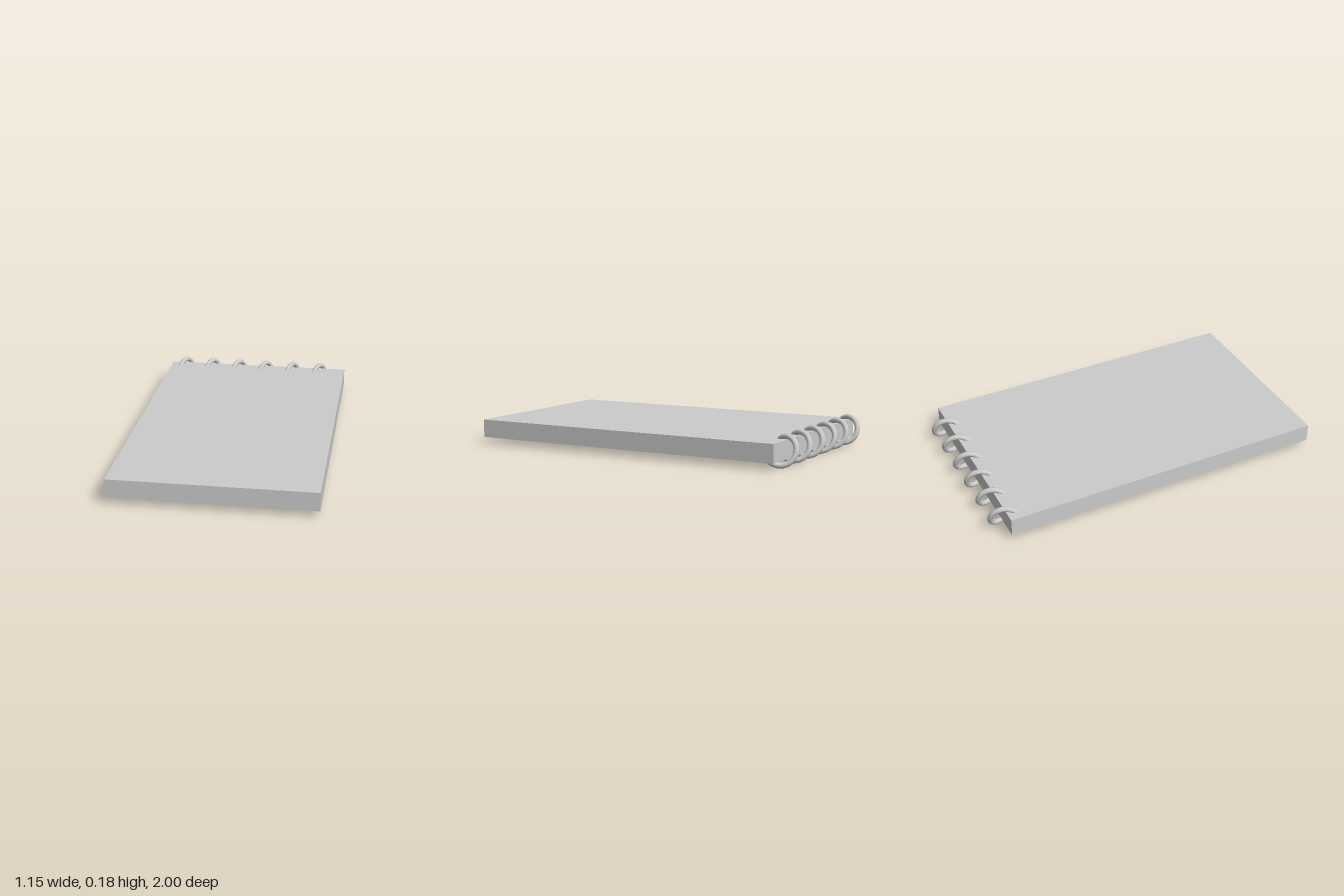
import * as THREE from 'three';

const TURNS = 6, PITCH = 0.18, RADIUS = 0.073, WIRE = 0.0155;

// Coil running along x, starting inside the pad and rising over its top edge
class Helix extends THREE.Curve {
  getPoint(t, target = new THREE.Vector3()) {
    const a = t * TURNS * Math.PI * 2;
    return target.set((t - 0.5) * TURNS * PITCH, RADIUS * Math.sin(a), RADIUS * Math.cos(a));
  }
}

export function createModel() {
  const group = new THREE.Group();
  const material = new THREE.MeshStandardMaterial({ color: 0xcccccc });

  // Block of pages
  const pad = new THREE.Mesh(new THREE.BoxGeometry(1.154, 0.106, 1.91), material);
  pad.name = 'pagePad';
  pad.position.set(0, 0.092, 0.045);
  group.add(pad);

  // Spiral binding wire through the back edge
  const spiral = new THREE.Mesh(new THREE.TubeGeometry(new Helix(), TURNS * 32, WIRE, 12), material);
  spiral.name = 'spiralBinding';
  spiral.position.set(0, 0.0905, -0.9115);
  group.add(spiral);

  return group;
}
